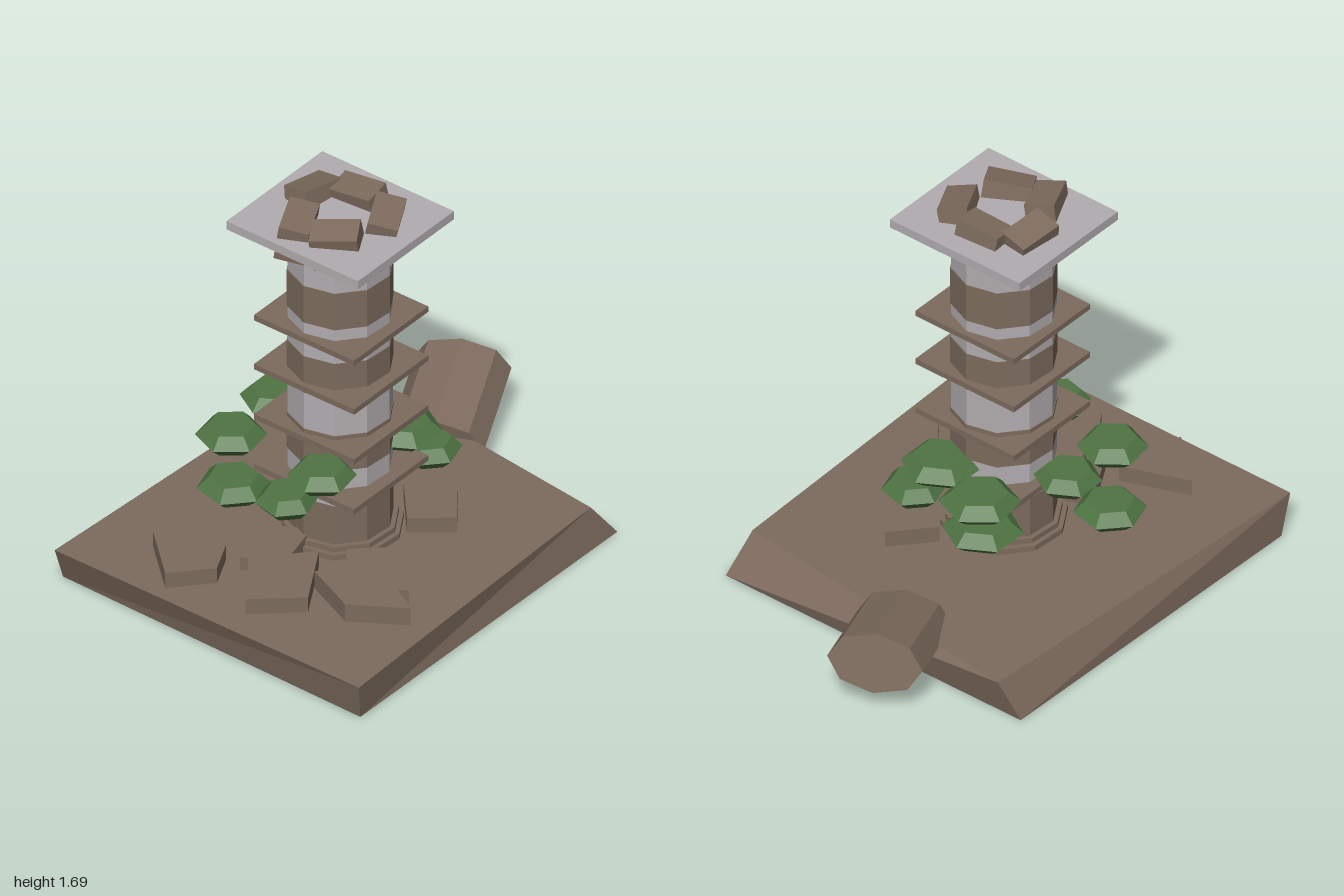
import * as THREE from 'three';

export function createModel() {
  const root = new THREE.Group();
  root.name = 'ruinedTower';
  const mat = (name, color) => {
    const m = new THREE.MeshStandardMaterial({ color, flatShading: true });
    m.name = name;
    return m;
  };
  const brown = mat('brownStone', 0x7d6b5d);
  const grey = mat('paleStone', 0xb2adb0);
  const green = mat('foliage', 0x4f7443);
  const cx = -0.18, cz = 0.01;

  const add = (name, geo, material, x = 0, y = 0, z = 0) => {
    const m = new THREE.Mesh(geo, material);
    m.name = name;
    m.position.set(x, y, z);
    root.add(m);
    return m;
  };

  // Skewed ground block: each corner of a box is moved to its own place
  const top = { '-1-1': [-1, -0.74], '1-1': [0.655, -0.65], '11': [0.5, 0.7], '-11': [-0.995, 0.745] };
  const low = { '-1-1': [-0.935, -0.75], '1-1': [0.615, -0.73], '11': [0.62, 0.735], '-11': [-0.96, 0.725] };
  const ground = new THREE.BoxGeometry(2, 2, 2);
  const p = ground.attributes.position;
  for (let i = 0; i < p.count; i++) {
    const up = p.getY(i) > 0;
    const [x, z] = (up ? top : low)[`${p.getX(i)}${p.getZ(i)}`];
    p.setXYZ(i, x, up ? 0.165 : 0, z);
  }
  ground.computeVertexNormals();
  add('groundBlock', ground, brown);

  // Tower shaft: alternating ten-sided drums
  const drum = (name, r, y0, y1, material) => {
    const m = add(name, new THREE.CylinderGeometry(r, r, y1 - y0, 10), material, cx, (y0 + y1) / 2, cz);
    m.rotation.y = THREE.MathUtils.degToRad(14);
  };
  const levels = [0.165, 0.39, 0.556, 0.72, 0.89, 1.06, 1.22, 1.39, 1.56];
  for (let i = 0; i < 8; i++) {
    const even = i % 2 === 0;
    drum(even ? 'brownDrum' : 'paleDrum', even ? 0.21 : 0.207, levels[i], levels[i + 1], even ? brown : grey);
  }
  drum('footStep', 0.25, 0.16, 0.19, brown);
  drum('footStep', 0.23, 0.19, 0.213, brown);
  drum('capRing', 0.265, 1.553, 1.574, grey);

  // Square ledges and the top slab
  for (const y of [0.455, 0.69, 0.925, 1.155])
    add('ledge', new THREE.BoxGeometry(0.46, 0.025, 0.49), brown, cx, y, cz + 0.005);
  add('topSlab', new THREE.BoxGeometry(0.595, 0.038, 0.645), grey, cx, 1.591, cz);

  // Ring of tilted stones pushed through the top slab: x, z, turn, lean
  const crown = [
    [-0.135, -0.155, -0.1, -0.2], [-0.335, -0.08, 0.45, 0.15], [-0.31, 0.1, 2.1, -0.2],
    [-0.1, 0.16, 0.5, 0.2], [-0.03, -0.01, 1.65, -0.15],
  ];
  for (const [x, z, turn, lean] of crown) {
    const stone = add('crownStone', new THREE.BoxGeometry(0.19, 0.16, 0.12), brown, x, 1.587, z);
    stone.rotation.set(lean, turn, lean * 0.6, 'YXZ');
  }

  // Flat fallen stones: outlines on the ground as x, z
  const slabs = [
    [0.235, [-0.935, -0.25], [-0.745, -0.46], [-0.64, -0.185], [-0.785, -0.115]],
    [0.235, [-0.88, 0.1], [-0.66, -0.06], [-0.45, 0.12], [-0.72, 0.28]],
    [0.225, [-0.66, -0.1], [-0.46, -0.21], [-0.34, 0], [-0.6, 0.06]],
    [0.245, [-0.68, 0.43], [-0.58, 0.2], [-0.42, 0.42], [-0.545, 0.645]],
    [0.24, [-0.45, 0.56], [-0.23, 0.37], [-0.38, 0.2], [-0.58, 0.35]],
    [0.235, [-0.07, 0.25], [0.05, 0.4], [0.26, 0.24], [0.1, 0.1]],
  ];
  for (const [y, ...pts] of slabs) {
    const shape = new THREE.Shape(pts.map(([x, z]) => new THREE.Vector2(x, -z)));
    const geo = new THREE.ExtrudeGeometry(shape, { depth: y - 0.15, bevelEnabled: false });
    geo.rotateX(-Math.PI / 2);
    add('fallenStone', geo, brown, 0, 0.15, 0);
  }

  // Fallen column piece leaning over the edge of the ground
  const column = new THREE.CylinderGeometry(0.19, 0.19, 0.44, 8);
  column.rotateZ(-Math.PI / 2);
  column.scale(1, 0.66, 1);
  add('fallenColumn', column, brown, 0.715, 0.165, -0.16).rotation.set(0, 0.42, 0.22, 'YZX');

  // Foliage: flattened six-sided pads, x, y, z, radius
  const pads = [
    [0.075, 0.52, 0.11, 0.16], [0.135, 0.49, -0.13, 0.16], [0.15, 0.415, 0.185, 0.13],
    [0.11, 0.338, -0.125, 0.16], [-0.445, 0.592, 0.13, 0.135], [-0.55, 0.495, 0.04, 0.125],
    [-0.12, 0.565, -0.36, 0.135], [-0.4, 0.55, -0.35, 0.14], [-0.36, 0.28, -0.37, 0.145],
  ];
  pads.forEach(([x, y, z, r], i) => {
    const h = 0.046;
    const profile = [[0, -h], [r * 0.65, -h], [r, 0], [r * 0.68, h], [0, h]];
    const geo = new THREE.LatheGeometry(profile.map(([a, b]) => new THREE.Vector2(a, b)), 6);
    add('foliagePad', geo, green, x, y, z).rotation.y = Math.PI / 6 + (i % 3) * 0.15;
  });

  return root;
}
